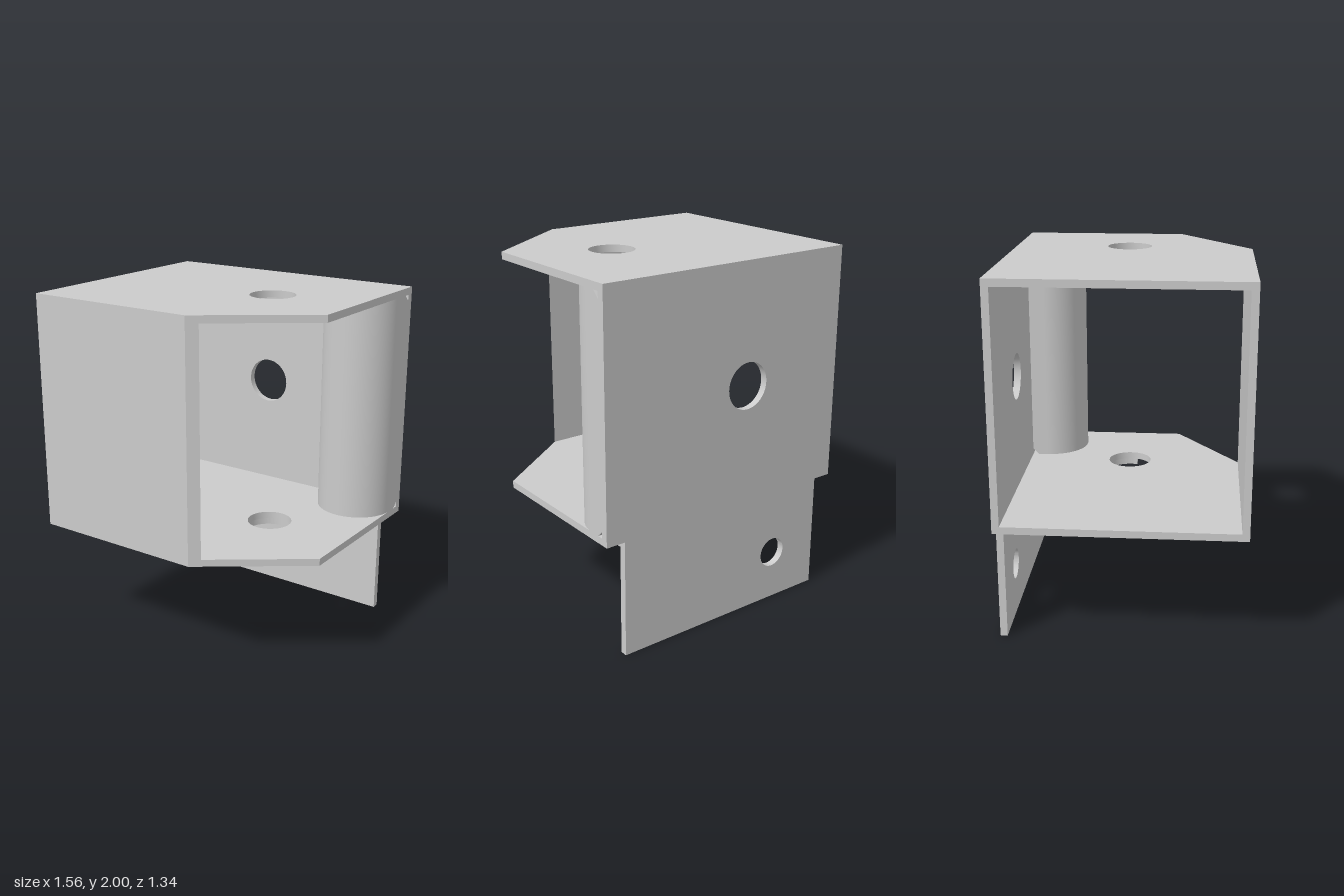
import * as THREE from 'three';
import { toCreasedNormals } from 'three/addons/utils/BufferGeometryUtils.js';

const T = 0.04; // sheet thickness
const BACK = -0.67, FRONT = 0.67, BASE = 0.66, TOP = 2;

function polygon(points) {
  return new THREE.Shape(points.map(([x, y]) => new THREE.Vector2(x, y)));
}

function withHole(shape, x, y, r) {
  const hole = new THREE.Path();
  hole.absarc(x, y, r, 0, Math.PI * 2, true);
  shape.holes.push(hole);
  return shape;
}

function extrude(shape, depth) {
  return new THREE.ExtrudeGeometry(shape, { depth, bevelEnabled: false, curveSegments: 32 });
}

export function createModel() {
  const model = new THREE.Group();
  const material = new THREE.MeshStandardMaterial({ color: 0xcccccc });

  const add = (name, geometry, x = 0, y = 0, z = 0) => {
    const mesh = new THREE.Mesh(toCreasedNormals(geometry, 0.6), material);
    mesh.name = name;
    mesh.position.set(x, y, z);
    model.add(mesh);
  };
  // Plan shapes are drawn as (x, -z) and extruded upwards
  const addPlan = (name, shape, y, height) =>
    add(name, extrude(shape, height).rotateX(-Math.PI / 2), 0, y);

  // Top and bottom of the box, with a cut corner and a round hole
  const deck = withHole(polygon([
    [-0.78, -FRONT], [0.22, -FRONT], [0.78, -0.26], [0.78, -BACK], [-0.78, -BACK],
  ]), 0.28, 0.025, 0.125);
  addPlan('topWall', deck, TOP - T, T);
  addPlan('bottomWall', deck, BASE, T);

  // Front wall, its end following the cut corner
  const frontWall = polygon([
    [-0.78, -FRONT], [0.22, -FRONT], [0.275, -FRONT + T], [-0.78, -FRONT + T],
  ]);
  addPlan('frontWall', frontWall, BASE + T, TOP - BASE - 2 * T);

  // Back wall with its hole
  const backWall = withHole(polygon([
    [-0.78, BASE + T], [0.78, BASE + T], [0.78, TOP - T], [-0.78, TOP - T],
  ]), -0.13, 1.33, 0.13);
  add('backWall', extrude(backWall, T), 0, 0, BACK);

  // Angle bracket below: hanging plate and flange with a notch for the hole
  const plate = withHole(polygon([
    [-0.67, 0], [0.67, 0], [0.67, BASE - T], [-0.67, BASE - T],
  ]), -0.355, 0.285, 0.085);
  add('hangingPlate', extrude(plate, T), 0, 0, BACK);

  const notchAngle = Math.asin(0.035 / 0.135);
  const flange = new THREE.Shape();
  flange.moveTo(-0.67, -0.01);
  flange.absarc(0.28, 0.025, 0.135, Math.PI + notchAngle, -notchAngle, true);
  flange.lineTo(0.67, -0.01);
  flange.lineTo(0.67, -BACK);
  flange.lineTo(-0.67, -BACK);
  flange.closePath();
  addPlan('bracketFlange', flange, BASE - T, T);

  // U-shaped guard: rounded front and two flat sides with clipped corners
  const cx = 0.5575, cz = -0.5375, r = 0.2225;
  const bend = new THREE.Shape();
  bend.absarc(cx, -cz, r, Math.PI, Math.PI * 2, false);
  bend.absarc(cx, -cz, r - T, Math.PI * 2, Math.PI, true);
  bend.closePath();
  addPlan('guardBend', bend, BASE + T, TOP - BASE - 2 * T);

  const low = BASE + T, high = TOP - T, rear = -BACK - T, clip = 0.035;
  const side = polygon([
    [-cz, low], [rear - clip, low], [rear, low + clip],
    [rear, high - clip], [rear - clip, high], [-cz, high],
  ]);
  for (const x of [cx - r, cx + r - T]) {
    add('guardSide', extrude(side, T).rotateY(Math.PI / 2), x);
  }

  return model;
}
